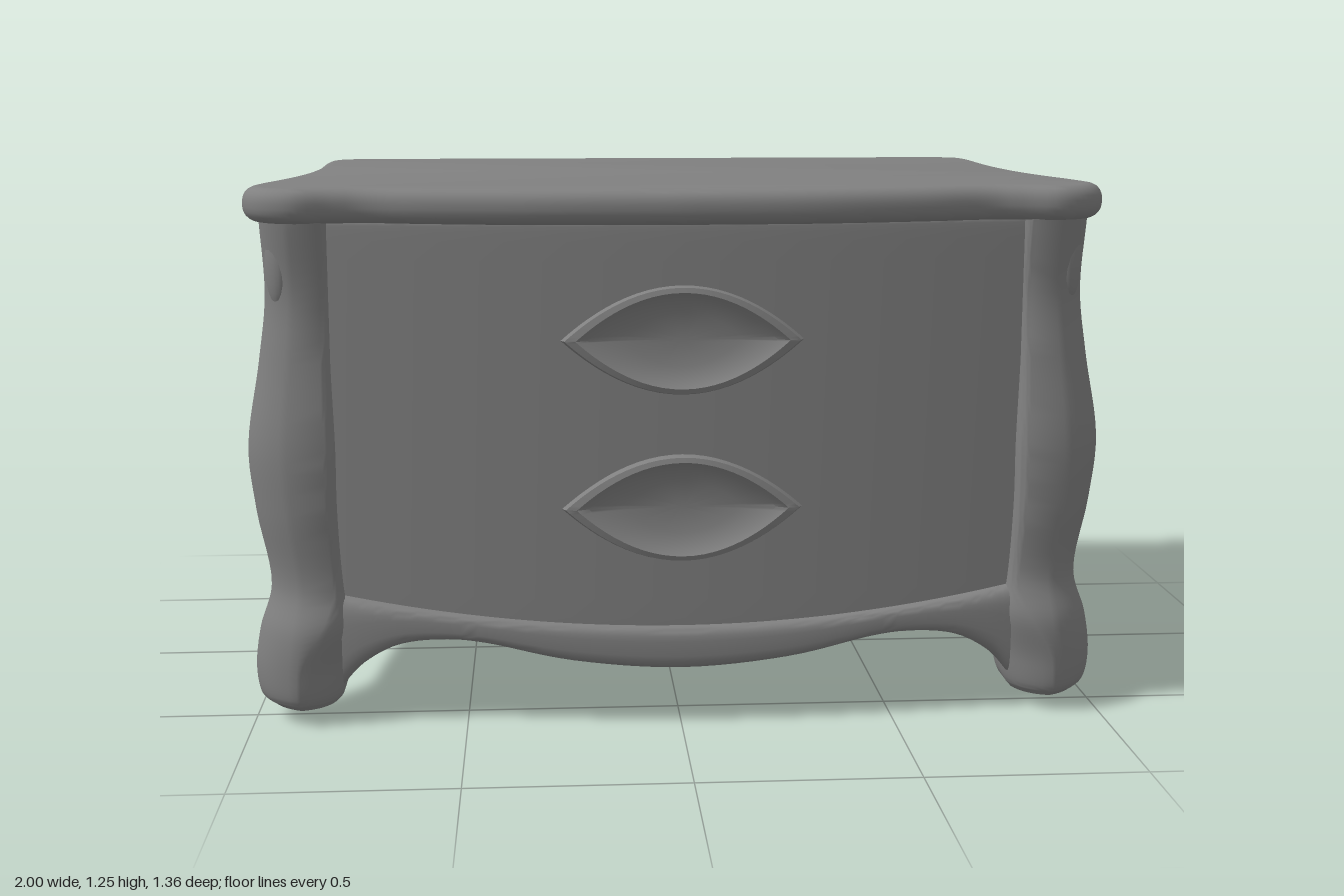
import * as THREE from 'three';
import { toCreasedNormals } from 'three/addons/utils/BufferGeometryUtils.js';

const V = (x, y, z) => new THREE.Vector3(x, y, z);
const smooth = THREE.MathUtils.smoothstep;

// Capped solid through closed rings of points; winding is made to face outwards
function loft(rings) {
  const n = rings[0].length, pos = [], idx = [];
  rings.forEach(r => r.forEach(p => pos.push(p.x, p.y, p.z)));
  for (let i = 0; i < rings.length - 1; i++) for (let j = 0; j < n; j++) {
    const a = i * n + j, b = i * n + (j + 1) % n;
    idx.push(a, b, a + n, b, b + n, a + n);
  }
  [0, rings.length - 1].forEach((k, end) => {
    const c = rings[k].reduce((s, p) => s.add(p), V(0, 0, 0)).divideScalar(n);
    const ci = pos.push(c.x, c.y, c.z) / 3 - 1;
    for (let j = 0; j < n; j++) {
      const a = k * n + j, b = k * n + (j + 1) % n;
      end ? idx.push(ci, a, b) : idx.push(ci, b, a);
    }
  });
  const pt = i => V(pos[3 * i], pos[3 * i + 1], pos[3 * i + 2]);
  let volume = 0;
  for (let i = 0; i < idx.length; i += 3) volume += pt(idx[i]).dot(pt(idx[i + 1]).cross(pt(idx[i + 2])));
  if (volume < 0) idx.reverse();
  const g = new THREE.BufferGeometry();
  g.setAttribute('position', new THREE.Float32BufferAttribute(pos, 3));
  g.setIndex(idx);
  return toCreasedNormals(g, 0.8);
}

// Rounded-rectangle section between two corners; a small power gives squarer corners
function section(u0, u1, v0, v1, power, n = 28) {
  const soft = c => Math.sign(c) * Math.abs(c) ** power;
  return Array.from({ length: n }, (_, i) => {
    const a = (i + 0.5) / n * Math.PI * 2;
    return [(u0 + u1) / 2 + (u1 - u0) / 2 * soft(Math.cos(a)), (v0 + v1) / 2 + (v1 - v0) / 2 * soft(Math.sin(a))];
  });
}

// Leg section: outer corner softly chamfered, the two side corners cut off by a varying amount
function legSection(x0, x1, z0, z1, cut) {
  const o = 0.48, k = 0.2 * cut, s = 0.86;
  const corners = [[[1, 1 - o], [s, s], [1 - o, 1]], [[cut, 1], [k, 1 - k], [0, 1 - cut]],
    [[0, 0.1], [0, 0], [0.1, 0]], [[1 - cut, 0], [1 - k, k], [1, cut]]];
  return corners.flatMap(c => new THREE.QuadraticBezierCurve(...c.map(p => new THREE.Vector2(...p))).getPoints(7)
    .map(p => [x0 + (x1 - x0) * p.x, z0 + (z1 - z0) * p.y]));
}

// Bar along a lower-edge curve of [along, y] points, with a top and an outer face
function rail(edge, top, outer, depth, place, power = 0.3, steps = 48) {
  const curve = new THREE.SplineCurve(edge.map(p => new THREE.Vector2(...p)));
  return loft(Array.from({ length: steps + 1 }, (_, i) => {
    const p = curve.getPoint(i / steps), d = outer(p.x);
    return section(p.y, top(p.x), d - depth, d, power).map(([y, o]) => place(p.x, y, o));
  }));
}

const frontZ = x => 0.605 - 0.07 * (x / 0.8) ** 2;
const sideX = z => 0.87 + 0.05 * smooth(z, -0.2, 0.5);
const mirrorEdge = half => [...half.slice(1).reverse().map(([x, y]) => [-x, y]), ...half];

export function createModel() {
  const model = new THREE.Group();
  const grey = new THREE.MeshStandardMaterial({ color: 0x808080 });
  grey.name = 'grey';
  const add = (name, geometry) => {
    const m = new THREE.Mesh(geometry, grey);
    m.name = name;
    model.add(m);
    return m;
  };

  // Table top with serpentine front and rounded edge
  const half = [[0, 0.675], [0.3, 0.662], [0.55, 0.62], [0.7, 0.582], [0.78, 0.585], [0.87, 0.604], [0.95, 0.565],
    [0.993, 0.48], [0.985, 0.37], [0.95, 0.2], [0.922, 0], [0.912, -0.25], [0.92, -0.56], [0.895, -0.64], [0.83, -0.68]];
  const right = new THREE.SplineCurve(half.map(([x, z]) => new THREE.Vector2(x, -z))).getPoints(70);
  const left = right.slice(1).reverse().map(p => new THREE.Vector2(-p.x, p.y));
  const slab = new THREE.ExtrudeGeometry(new THREE.Shape([...right, ...left]), {
    depth: 0.012, bevelThickness: 0.034, bevelSize: 0.034, bevelOffset: -0.034, bevelSegments: 5,
  });
  slab.rotateX(-Math.PI / 2).translate(0, 1.204, 0);
  add('tableTop', toCreasedNormals(slab, 0.7));

  // Carcass, set back behind the frames
  const plan = new THREE.Shape();
  plan.moveTo(-0.82, 0.575);
  plan.lineTo(0.82, 0.575);
  for (let z = -0.57; z <= 0.48; z += 0.07) plan.lineTo(sideX(z) - 0.035, -z);
  for (let x = 0.8; x >= -0.81; x -= 0.1) plan.lineTo(x, 0.03 - frontZ(x));
  for (let z = 0.48; z >= -0.58; z -= 0.07) plan.lineTo(0.035 - sideX(z), -z);
  const carcass = new THREE.ExtrudeGeometry(plan, { depth: 0.99, bevelEnabled: false });
  carcass.rotateX(-Math.PI / 2).translate(0, 0.19, 0);
  add('carcass', toCreasedNormals(carcass, 0.5));

  // Corner legs turning into diagonal feet: rows of y, outer x, outer z, inner x, inner z
  const frontLeg = [[1.18, 0.955, 0.575, 0.8, 0.42], [1.0, 0.95, 0.545, 0.8, 0.41], [0.85, 0.968, 0.555, 0.8, 0.41],
    [0.65, 0.998, 0.58, 0.795, 0.41], [0.5, 0.985, 0.58, 0.795, 0.41], [0.32, 0.957, 0.572, 0.785, 0.41],
    [0.22, 0.985, 0.605, 0.77, 0.395], [0.12, 0.997, 0.605, 0.78, 0.4], [0.055, 0.985, 0.597, 0.795, 0.41],
    [0.035, 0.96, 0.58, 0.81, 0.425]];
  const backLeg = [[1.18, 0.9, 0.615, 0.76, 0.46], [1.08, 0.89, 0.63, 0.76, 0.46], [0.85, 0.9, 0.607, 0.76, 0.45],
    [0.62, 0.935, 0.63, 0.76, 0.45], [0.5, 0.93, 0.632, 0.76, 0.45], [0.34, 0.9, 0.62, 0.76, 0.45],
    [0.24, 0.94, 0.65, 0.75, 0.43], [0.13, 0.965, 0.677, 0.76, 0.44], [0.03, 0.945, 0.658, 0.775, 0.455],
    [0, 0.92, 0.635, 0.79, 0.475]];
  for (const [label, rows, sz] of [['front', frontLeg, 1], ['back', backLeg, -1]]) for (const sx of [1, -1]) {
    const outer = new THREE.CatmullRomCurve3(rows.map(r => V(r[1], r[0], r[2])));
    const inner = new THREE.CatmullRomCurve3(rows.map(r => V(r[3], r[0], r[4])));
    const rings = Array.from({ length: 55 }, (_, i) => {
      const o = outer.getPoint(i / 54), n = inner.getPoint(i / 54);
      const cut = 0.12 + 0.36 * (1 - smooth(o.y, 0.12, 0.34));
      return legSection(n.x, o.x, n.z, o.z, cut).map(([x, z]) => V(sx * x, o.y, sz * z));
    });
    const side = sx > 0 ? 'Left' : 'Right';
    add(label + side + 'Leg', loft(rings));
    // Carved leaf at the top of the leg
    const leaf = add(label + side + 'Leaf', new THREE.SphereGeometry(1, 16, 12));
    leaf.scale.set(0.035, 0.1, 0.02);
    leaf.position.set(sx * (rows[1][1] - 0.033), 1.08, sz * (rows[1][2] - 0.033));
    leaf.rotation.y = Math.atan2(sx, sz);
  }

  // Scalloped aprons at front and back
  const scallop = mirrorEdge([[0, 0.13], [0.25, 0.15], [0.45, 0.192], [0.56, 0.2], [0.66, 0.185], [0.74, 0.14], [0.79, 0.085]]);
  const front = (x, y, d) => V(x, y, d), back = (x, y, d) => V(x, y, -d);
  add('frontApron', rail(scallop, x => 0.235 + 0.07 * (x / 0.8) ** 2, x => frontZ(x) + 0.025 + 0.01 * smooth(Math.abs(x), 0.5, 0.8), 0.12, front, 0.5, 72));
  add('backApron', rail(scallop, x => 0.255 + 0.06 * (x / 0.8) ** 2, () => 0.628, 0.12, back, 0.5, 72));

  // Bowed drawer front
  add('drawerFront', rail([[-0.8, 0.22], [0, 0.2], [0.8, 0.22]], () => 1.18, frontZ, 0.06, front, 0.1));

  // Back top rail and middle seam
  add('backTopRail', rail([[-0.78, 1.09], [0, 1.09], [0.78, 1.09]], () => 1.18, () => 0.605, 0.06, back));
  add('backSeam', rail([[-0.78, 0.675], [0, 0.675], [0.78, 0.675]], () => 0.705, () => 0.585, 0.03, back, 0.6));

  // Side frames around recessed panels
  for (const sx of [1, -1]) {
    const name = sx > 0 ? 'left' : 'right', place = (z, y, d) => V(sx * d, y, z);
    add(name + 'SideTopRail', rail([[-0.5, 1.01], [0, 1.01], [0.46, 1.01]], () => 1.18, sideX, 0.09, place, 0.15));
    add(name + 'SideApron', rail([[-0.48, 0.07], [-0.44, 0.15], [-0.37, 0.205], [-0.2, 0.215], [0.2, 0.21], [0.33, 0.2], [0.39, 0.14], [0.43, 0.08]],
      () => 0.335, z => sideX(z) + 0.012, 0.12, place, 0.35));
    for (const [z0, z1] of [[-0.5, -0.405], [0.37, 0.46]])
      add(name + 'SideStile', rail([[z0, 0.28], [(z0 + z1) / 2, 0.28], [z1, 0.28]], () => 1.06, sideX, 0.09, place, 0.15, 4));
    add(name + 'PanelSeam', rail([[-0.03, 0.3], [-0.023, 0.3], [-0.016, 0.3]], () => 1.03, z => sideX(z) - 0.03, 0.02, place, 0.3, 3));
  }

  // Leaf-shaped dished handles: rings of [scale, height off the drawer]
  const dish = [[0.9, -0.02], [0.97, 0.02], [1, 0.045], [0.97, 0.06], [0.88, 0.064], [0.78, 0.05], [0.5, 0.034], [0.1, 0.03]];
  for (const [name, y] of [['upperHandle', 0.912], ['lowerHandle', 0.525]]) {
    add(name, loft(dish.map(([s, h]) => Array.from({ length: 64 }, (_, i) => {
      const a = i / 64 * Math.PI * 2, sn = Math.sin(a), x = 0.275 * s * Math.cos(a);
      return V(x, y + 0.124 * s * Math.sign(sn) * Math.abs(sn) ** 2, frontZ(x) + h);
    }))));
  }

  // Low curved mouldings on the back
  const mouldings = [
    ['backUpperArch', [[-0.24, 0.83], [-0.13, 0.87], [-0.06, 0.96], [0.06, 0.96], [0.13, 0.87], [0.24, 0.83]]],
    ['backUpperSill', [[-0.24, 0.83], [-0.1, 0.82], [0, 0.8], [0.1, 0.82], [0.24, 0.83]]],
    ['backLowerPull', [[-0.27, 0.56], [-0.13, 0.49], [0, 0.4], [0.13, 0.49], [0.27, 0.56]]],
  ];
  for (const [name, pts] of mouldings) {
    const path = new THREE.CatmullRomCurve3(pts.map(([x, y]) => V(x, y, -0.578 - 0.02 * (1 - (x / 0.27) ** 2))));
    add(name, new THREE.TubeGeometry(path, 32, 0.018, 10));
  }
  return model;
}
